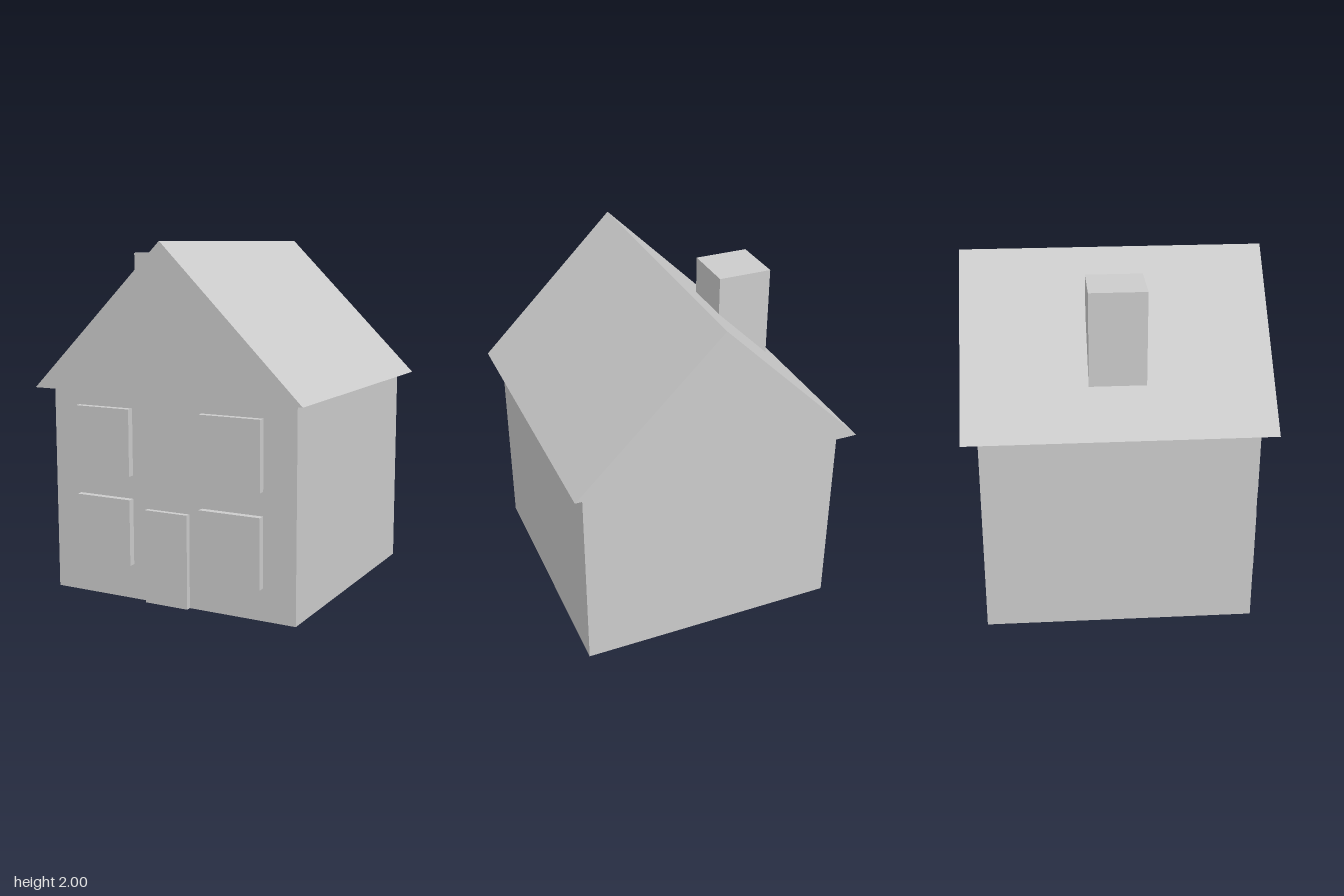
import * as THREE from 'three';

const material = new THREE.MeshStandardMaterial({ color: 0xcccccc, flatShading: true });

// Box given by its lower and upper corners
function block(name, [x0, y0, z0], [x1, y1, z1]) {
  const mesh = new THREE.Mesh(new THREE.BoxGeometry(x1 - x0, y1 - y0, z1 - z0), material);
  mesh.position.set((x0 + x1) / 2, (y0 + y1) / 2, (z0 + z1) / 2);
  mesh.name = name;
  return mesh;
}

export function createModel() {
  const house = new THREE.Group();
  house.name = 'house';
  const wall = 0.76, eaves = 1.18, inset = 0.74;

  house.add(block('walls', [-wall, 0, -wall], [wall, eaves, wall]));

  // Solid gable roof, overhanging the walls
  const gable = new THREE.Shape([
    new THREE.Vector2(-0.828, eaves),
    new THREE.Vector2(0.828, eaves),
    new THREE.Vector2(0, 2),
  ]);
  const roofGeometry = new THREE.ExtrudeGeometry(gable, { depth: 1.7, bevelEnabled: false });
  roofGeometry.translate(0, 0, -0.85);
  const roof = new THREE.Mesh(roofGeometry, material);
  roof.name = 'roof';
  house.add(roof);

  // Chimney sunk into the right roof slope
  house.add(block('chimney', [-0.603, 1.25, -0.16], [-0.29, 1.93, 0.155]));

  // Door and window panels standing proud of the front wall
  house.add(block('door', [-0.147, 0, inset], [0.12, 0.53, 0.79]));
  const windows = [
    ['upperRightWindow', -0.592, 0.71, -0.24, 1.087],
    ['lowerRightWindow', -0.592, 0.2, -0.24, 0.577],
    ['upperLeftWindow', 0.2, 0.704, 0.567, 1.092],
    ['lowerLeftWindow', 0.2, 0.18, 0.567, 0.572],
  ];
  for (const [name, x0, y0, x1, y1] of windows) {
    house.add(block(name, [x0, y0, inset], [x1, y1, 0.8]));
  }
  return house;
}
